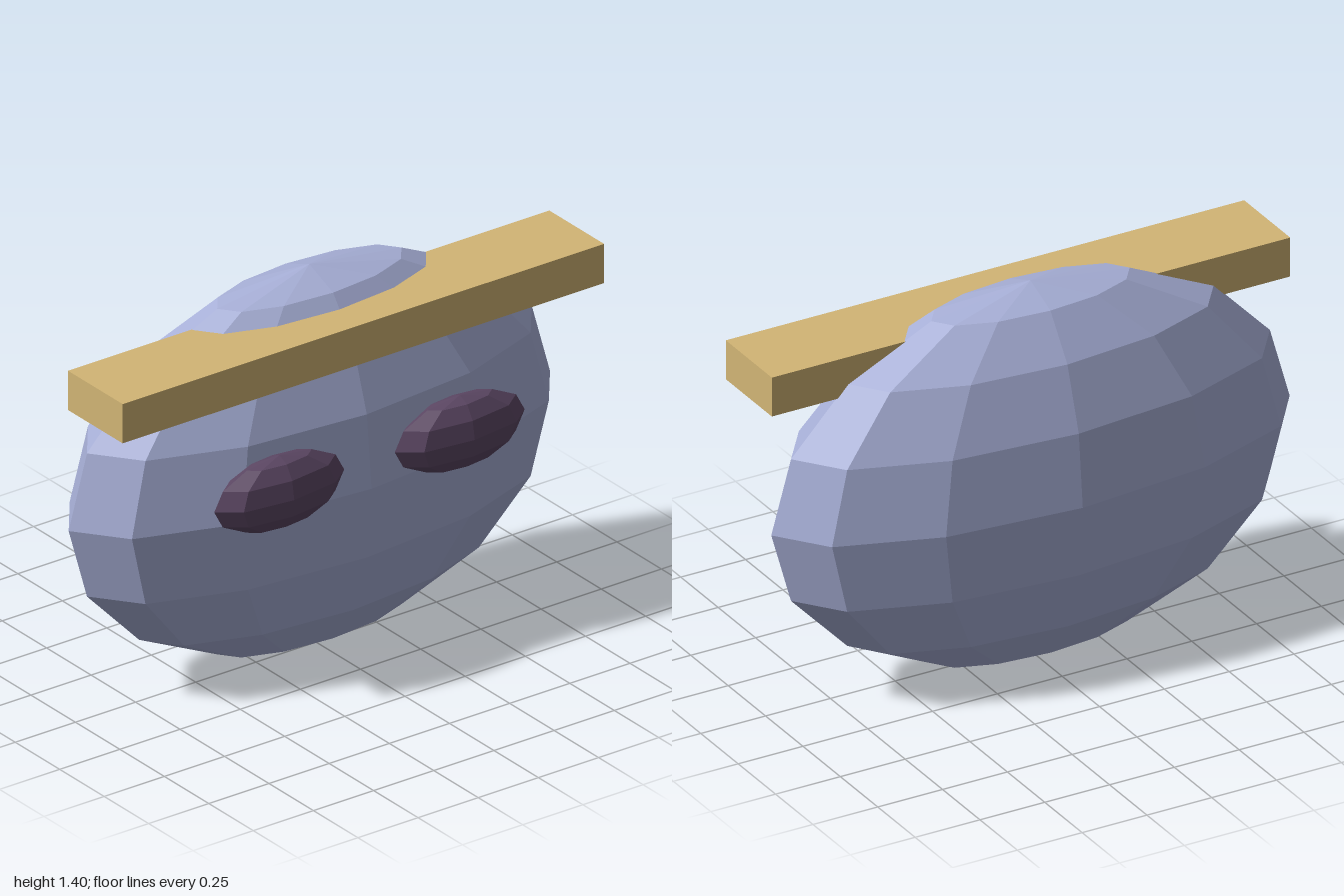
import * as THREE from 'three';

const material = (name, color) => {
  const m = new THREE.MeshStandardMaterial({ color, flatShading: true });
  m.name = name;
  return m;
};

// Faceted ellipsoid with the given radii and centre
function ellipsoid(name, mat, segments, radii, centre) {
  const geometry = new THREE.SphereGeometry(1, ...segments).scale(...radii);
  const mesh = new THREE.Mesh(geometry, mat);
  mesh.name = name;
  mesh.position.set(...centre);
  return mesh;
}

export function createModel() {
  const lilac = material('lilac', 0xa8b0d8);
  const gold = material('gold', 0xd2b575);
  const plum = material('plum', 0x5c4764);
  const model = new THREE.Group();
  model.name = 'maskedHead';

  // Flattened head
  model.add(ellipsoid('head', lilac, [12, 8], [1, 0.7, 0.35], [0, 0.702, -0.038]));

  // Straight band across the forehead
  const band = new THREE.Mesh(new THREE.BoxGeometry(2, 0.147, 0.308), gold);
  band.name = 'headband';
  band.position.set(0, 1.227, 0.112);
  model.add(band);

  // Mirrored eyes
  for (const [name, side] of [['leftEye', 1], ['rightEye', -1]]) {
    model.add(ellipsoid(name, plum, [8, 6], [0.27, 0.134, 0.085], [side * 0.375, 0.802, 0.3]));
  }
  return model;
}
